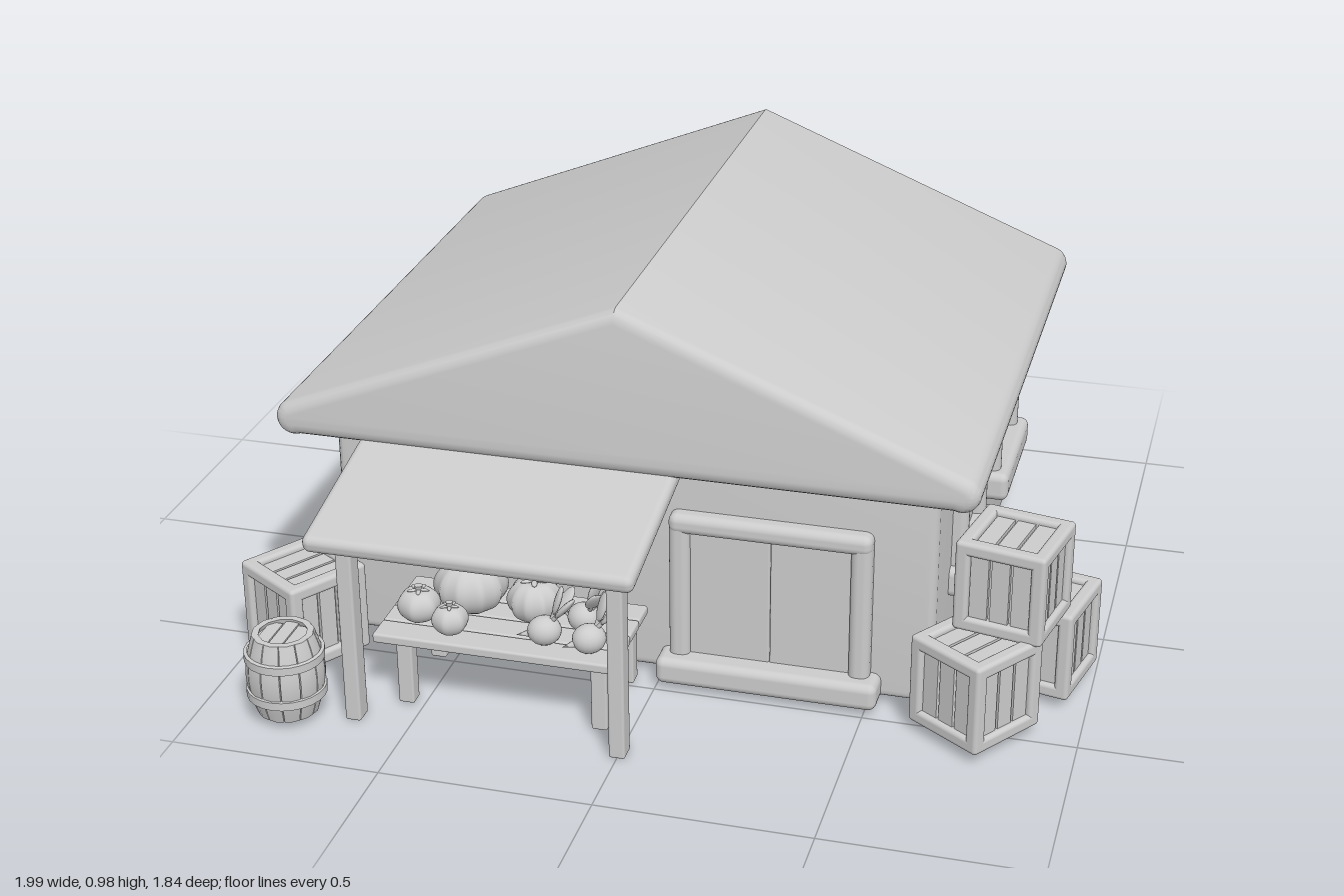
import * as THREE from 'three';
import { toCreasedNormals } from 'three/addons/utils/BufferGeometryUtils.js';
import { RoundedBoxGeometry } from 'three/addons/geometries/RoundedBoxGeometry.js';

const mat = new THREE.MeshStandardMaterial({ color: 0xcccccc });

function add(parent, name, geo, x = 0, y = 0, z = 0) {
  const m = new THREE.Mesh(geo, mat);
  m.name = name;
  m.position.set(x, y, z);
  parent.add(m);
  return m;
}

function group(parent, name, x = 0, y = 0, z = 0, ry = 0) {
  const g = new THREE.Group();
  g.name = name;
  g.position.set(x, y, z);
  g.rotation.y = ry;
  parent.add(g);
  return g;
}

const rbox = (w, h, d, r = 0.01) => new RoundedBoxGeometry(w, h, d, 3, r);

// Extrudes a front profile from z0 to z1 with soft edges
function softExtrude(shape, z0, z1, r) {
  const geo = new THREE.ExtrudeGeometry(shape, {
    depth: z1 - z0 - 2 * r, bevelEnabled: true, bevelSize: r, bevelThickness: r,
    bevelOffset: -r, bevelSegments: 4, curveSegments: 8,
  });
  geo.translate(0, 0, z0 + r);
  return toCreasedNormals(geo, 0.5);
}

// Gabled walls and chevron roof
function buildHouse(root) {
  const house = group(root, 'house', -0.075);
  const wall = new THREE.Shape();
  wall.moveTo(-0.725, 0.015);
  wall.lineTo(0.725, 0.015);
  wall.lineTo(0.725, 0.635);
  wall.lineTo(0, 0.925);
  wall.lineTo(-0.725, 0.635);
  wall.closePath();
  add(house, 'walls', softExtrude(wall, -0.83, 0.43, 0.025));

  const slope = 0.4, a = Math.atan(slope), r = 0.043, ex = 0.787, py = 0.93;
  const ey = py - slope * ex, rise = r / Math.cos(a);
  const roof = new THREE.Shape();
  roof.moveTo(0, py - rise);
  roof.absarc(ex, ey, r, -a - Math.PI / 2, -a + Math.PI / 2, false);
  roof.lineTo(0, py + rise);
  roof.absarc(-ex, ey, r, a + Math.PI / 2, a + Math.PI * 1.5, false);
  roof.closePath();
  add(house, 'roof', softExtrude(roof, -0.922, 0.54, 0.03));
}

// Framed opening facing +z: two posts, a lintel and a sill
function buildFrame(g, w, y0, y1, t, sillW, sillY, sillH, sillD) {
  for (const s of [-1, 1])
    add(g, 'framePost', rbox(t, y1 - y0, 0.07, 0.02), s * (w - t) / 2, (y0 + y1) / 2, 0);
  add(g, 'frameLintel', rbox(w, t, 0.075, 0.02), 0, y1 - t / 2, 0);
  add(g, 'sill', rbox(sillW, sillH, sillD, 0.02), 0, sillY, 0);
}

function buildDoor(root) {
  const door = group(root, 'door', 0.265, 0, 0.43);
  buildFrame(door, 0.48, 0.05, 0.45, 0.05, 0.53, 0.048, 0.068, 0.14);
  for (const s of [-1, 1])
    add(door, 'doorLeaf', rbox(0.196, 0.34, 0.03, 0.004), s * 0.099, 0.235, 0);
}

function buildWindows(root) {
  for (const s of [-1, 1])
    for (const z of [0.06, -0.458]) {
      const win = group(root, 'window', s > 0 ? 0.65 : -0.8, 0, z, s * Math.PI / 2);
      buildFrame(win, 0.325, 0.24, 0.545, 0.048, 0.372, 0.238, 0.075, 0.12);
      add(win, 'windowPane', new THREE.BoxGeometry(0.24, 0.24, 0.012), 0, 0.385, 0);
    }
}

function buildAwning(root) {
  const awning = group(root, 'awning');
  add(awning, 'awningSlab', rbox(0.765, 0.043, 0.5, 0.018), -0.318, 0.538, 0.64).rotation.x = 0.21;
  for (const x of [-0.635, 0])
    add(awning, 'awningPost', rbox(0.038, 0.5, 0.048, 0.006), x, 0.25, 0.787);
}

function buildTable(root) {
  const table = group(root, 'table', -0.32, 0, 0.585);
  for (let i = 0; i < 4; i++)
    add(table, 'tablePlank', rbox(0.58, 0.024, 0.071, 0.006), 0, 0.178, (i - 1.5) * 0.073);
  for (const x of [-0.22, 0.25])
    for (const z of [-0.105, 0.11])
      add(table, 'tableLeg', rbox(0.038, 0.165, 0.038, 0.005), x, 0.088, z);
}

// Ribbed round vegetable with a stem and a ring of leaves
function ribbedVegetable(root, name, x, z, r, h, ribs, stem) {
  const g = group(root, name, x, 0.19, z);
  const geo = new THREE.SphereGeometry(1, 40, 20);
  const p = geo.attributes.position, v = new THREE.Vector3();
  for (let i = 0; i < p.count; i++) {
    v.fromBufferAttribute(p, i);
    const flat = Math.hypot(v.x, v.z);
    const k = r * (1 - 0.09 * flat * Math.abs(Math.cos(Math.atan2(v.z, v.x) * ribs / 2)));
    const dip = v.y > 0 ? 0.2 * Math.exp(-flat * flat * 10) : 0;
    p.setXYZ(i, v.x * k, (v.y - dip) * h / 2, v.z * k);
  }
  geo.computeVertexNormals();
  add(g, 'flesh', geo, 0, h / 2, 0);
  add(g, 'stem', new THREE.CylinderGeometry(r * 0.2, r * 0.13, stem, 8), 0, h * 0.9 + stem / 2, 0);
  for (let i = 0; i < 5; i++) {
    const a = i * Math.PI * 0.4;
    const leaf = add(g, 'calyxLeaf', new THREE.SphereGeometry(1, 8, 6),
      Math.cos(a) * r * 0.25, h * 0.95, Math.sin(a) * r * 0.25);
    leaf.scale.set(r * 0.28, r * 0.06, r * 0.11);
    leaf.rotation.y = -a;
  }
}

// Lying root vegetable with a fan of broad leaves
function leafyVegetable(root, x, z, turn) {
  const g = group(root, 'leafyVegetable', x, 0.225, z, turn);
  add(g, 'root', new THREE.SphereGeometry(1, 18, 12)).scale.set(0.04, 0.035, 0.036);
  add(g, 'rootTip', new THREE.ConeGeometry(0.012, 0.04, 8), -0.045, -0.008, 0).rotation.z = 1.7;
  [-0.55, 0, 0.5].forEach((a, i) => {
    const stalk = group(g, 'leaf', 0.015, 0.02, 0, a);
    stalk.rotation.z = -0.55 + (i === 1 ? 0.25 : -0.15);
    add(stalk, 'leafStalk', new THREE.CylinderGeometry(0.005, 0.006, 0.05, 6), 0, 0.02, 0);
    add(stalk, 'leafBlade', new THREE.SphereGeometry(1, 14, 10), 0, 0.06, 0).scale.set(0.008, 0.037, 0.02);
  });
}

// Slatted crate standing on y
function buildCrate(root, x, y, z, ry) {
  const s = 0.214, h = 0.225, t = 0.034;
  const g = group(root, 'crate', x, y + h / 2, z, ry);
  const a = (s - t) / 2, b = (h - t) / 2;
  add(g, 'crateCore', new THREE.BoxGeometry(s - 0.045, h - 0.045, s - 0.045));
  for (const i of [-1, 1])
    for (const j of [-1, 1]) {
      add(g, 'cratePost', rbox(t, h, t), i * a, 0, j * a);
      add(g, 'crateRailX', rbox(s, t, t), 0, i * b, j * a);
      add(g, 'crateRailZ', rbox(t, t, s), i * a, j * b, 0);
    }
  for (let f = 0; f < 6; f++) {
    const face = group(g, 'crateFace');
    if (f < 4) face.rotation.y = f * Math.PI / 2;
    else face.rotation.x = (f === 4 ? 1 : -1) * Math.PI / 2;
    const d = (f < 4 ? s : h) / 2 - 0.02;
    for (let k = -1; k <= 1; k++)
      add(face, 'crateSlat', new THREE.BoxGeometry(0.043, (f < 4 ? h : s) - 2 * t, 0.014), k * 0.05, 0, d);
  }
}

// Bulging barrel made of separate staves with two hoops
function buildBarrel(root) {
  const g = group(root, 'barrel', -0.79, 0.02, 0.82);
  const H = 0.2, n = 12;
  const radius = (u) => 0.07 + 0.02 * Math.sin(u * Math.PI);
  const core = [new THREE.Vector2(0, 0.012)];
  for (let i = 0; i <= 6; i++) core.push(new THREE.Vector2(radius(i / 6) - 0.008, 0.012 + i * (H - 0.024) / 6));
  core.push(new THREE.Vector2(0, H - 0.012));
  add(g, 'barrelCore', toCreasedNormals(new THREE.LatheGeometry(core, 24), 0.6));
  for (let k = 0; k < n; k++) {
    const geo = new THREE.BoxGeometry(1, H, 0.016, 2, 8, 1);
    const p = geo.attributes.position;
    for (let i = 0; i < p.count; i++) {
      const r = radius(p.getY(i) / H + 0.5);
      const side = p.getX(i) * 2;
      const edge = Math.abs(side) > 0.5 ? 0.004 : 0;
      p.setXYZ(i, side * r * 0.245, p.getY(i), r - 0.006 + p.getZ(i) - edge);
    }
    add(g, 'barrelStave', toCreasedNormals(geo, 0.6), 0, H / 2, 0).rotation.y = k * Math.PI * 2 / n;
  }
  for (const u of [0.27, 0.73]) {
    const r = radius(u);
    const hoop = [[-0.012, 0], [-0.01, 0.008], [0.01, 0.008], [0.012, 0]].map(([y, d]) => new THREE.Vector2(r + d, y));
    add(g, 'barrelHoop', toCreasedNormals(new THREE.LatheGeometry(hoop, 24), 0.6), 0, u * H, 0);
  }
  for (let k = -1; k <= 1; k++)
    add(g, 'lidPlank', new THREE.BoxGeometry(0.032, 0.008, k ? 0.09 : 0.115), k * 0.035, H - 0.011, 0);
}

export function createModel() {
  const root = new THREE.Group();
  root.name = 'marketHouse';
  buildHouse(root);
  buildDoor(root);
  buildWindows(root);
  buildAwning(root);
  buildTable(root);

  // Produce on the table
  ribbedVegetable(root, 'largePumpkin', -0.425, 0.56, 0.088, 0.135, 10, 0.04);
  ribbedVegetable(root, 'mediumPumpkin', -0.265, 0.57, 0.066, 0.11, 10, 0.025);
  ribbedVegetable(root, 'tomato', -0.525, 0.64, 0.052, 0.085, 6, 0.015);
  ribbedVegetable(root, 'tomato', -0.435, 0.68, 0.044, 0.075, 6, 0.015);
  leafyVegetable(root, -0.21, 0.67, 0.3);
  leafyVegetable(root, -0.14, 0.59, -0.4);
  leafyVegetable(root, -0.1, 0.68, 0.6);

  buildCrate(root, 0.758, 0.025, 0.49, -0.6);
  buildCrate(root, 0.873, 0.025, 0.225, -0.22);
  buildCrate(root, 0.818, 0.242, 0.372, -0.2);
  buildCrate(root, -0.852, 0.025, 0.55, -0.57);
  buildBarrel(root);
  return root;
}
